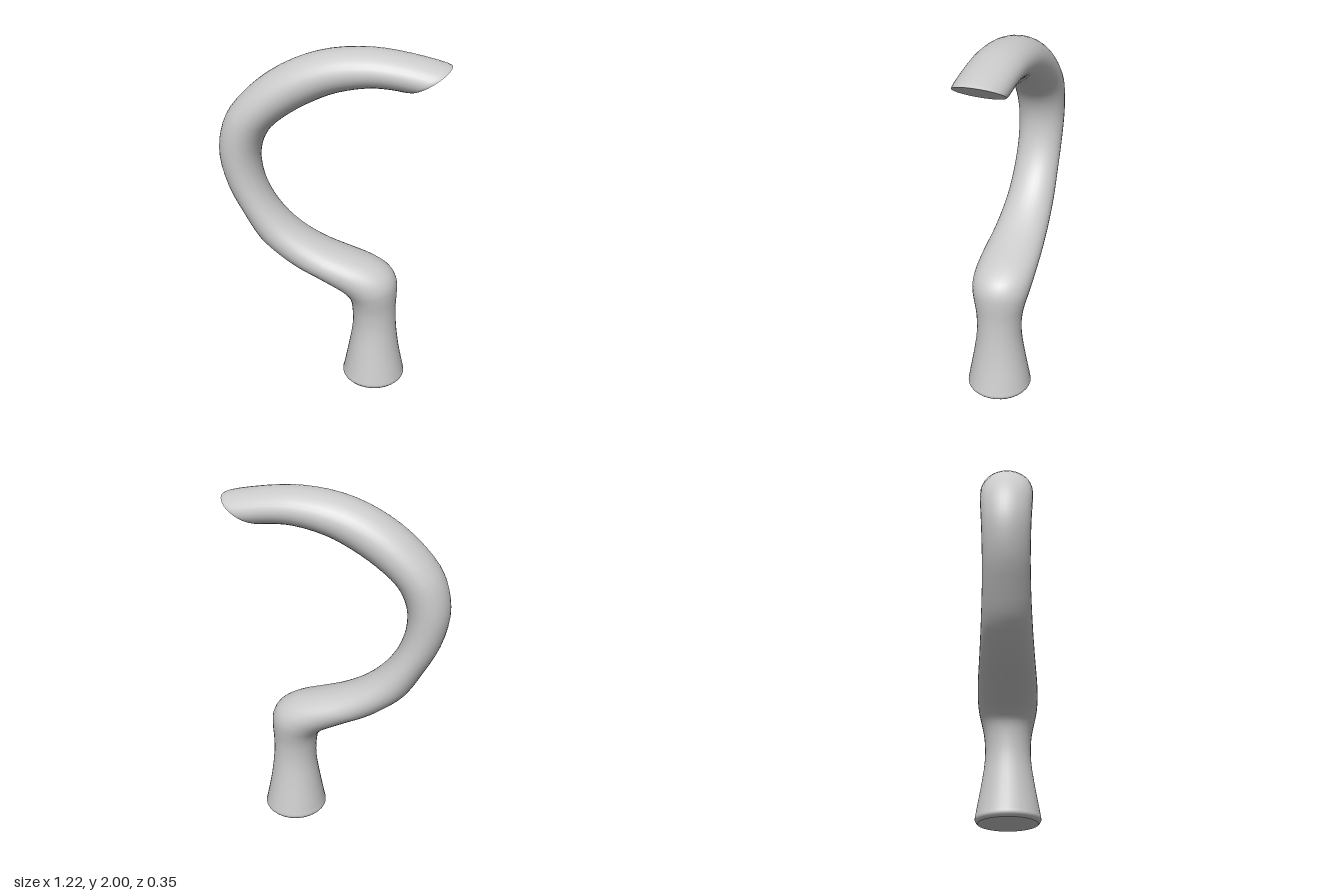
import * as THREE from 'three';

// Cross-sections from foot to tip: [ax, ay, bx, by, half depth];
// a and b are opposite edges of the tube in the plane of the hook.
const SECTIONS = [
  [0.41, 0.003, 0.085, 0.003, 0.163],
  [0.425, 0.022, 0.07, 0.022, 0.177],
  [0.42, 0.05, 0.075, 0.05, 0.174],
  [0.39, 0.2, 0.102, 0.2, 0.147],
  [0.371, 0.35, 0.123, 0.35, 0.126],
  [0.366, 0.48, 0.12, 0.46, 0.128],
  [0.37, 0.58, 0.105, 0.53, 0.144],
  [0.364, 0.65, 0.075, 0.57, 0.157],
  [0.33, 0.71, 0.03, 0.603, 0.163],
  [0.25, 0.762, -0.04, 0.64, 0.163],
  [0.13, 0.805, -0.12, 0.682, 0.158],
  [0, 0.852, -0.2, 0.722, 0.15],
  [-0.13, 0.92, -0.3, 0.79, 0.141],
  [-0.24, 1.01, -0.4, 0.88, 0.133],
  [-0.325, 1.12, -0.49, 1.03, 0.127],
  [-0.375, 1.24, -0.57, 1.19, 0.126],
  [-0.39, 1.36, -0.612, 1.37, 0.13],
  [-0.37, 1.46, -0.598, 1.51, 0.136],
  [-0.32, 1.545, -0.545, 1.635, 0.142],
  [-0.22, 1.63, -0.39, 1.8, 0.145],
  [-0.09, 1.71, -0.21, 1.915, 0.144],
  [0.04, 1.768, -0.02, 1.98, 0.142],
  [0.2, 1.802, 0.2, 2.0, 0.139],
  [0.3, 1.803, 0.4, 1.978, 0.137],
  [0.38, 1.795, 0.58, 1.938, 0.136],
  [0.395, 1.797, 0.605, 1.927, 0.133],
];
const SIDES = 32;
const STEPS = 75;

function geometryFrom(points, index) {
  const geometry = new THREE.BufferGeometry().setFromPoints(points);
  geometry.setIndex(index);
  geometry.computeVertexNormals();
  return geometry;
}

// Elliptical rings, eased between the sections
function makeRings() {
  const edgeA = new THREE.CatmullRomCurve3(SECTIONS.map(([x, y, , , d]) => new THREE.Vector3(x, y, d)));
  const edgeB = new THREE.CatmullRomCurve3(SECTIONS.map(([, , x, y, d]) => new THREE.Vector3(x, y, d)));
  const rings = [];
  for (let i = 0; i <= STEPS; i++) {
    const a = edgeA.getPoint(i / STEPS);
    const b = edgeB.getPoint(i / STEPS);
    const ring = [];
    for (let j = 0; j < SIDES; j++) {
      const angle = (j / SIDES) * Math.PI * 2;
      const p = new THREE.Vector3().lerpVectors(b, a, 0.5 + 0.5 * Math.cos(angle));
      p.z = Math.sin(angle) * (a.z + b.z) / 2;
      ring.push(p);
    }
    rings.push(ring);
  }
  return rings;
}

function makeTube(rings) {
  const index = [];
  for (let i = 0; i < rings.length - 1; i++) {
    for (let j = 0; j < SIDES; j++) {
      const k = (j + 1) % SIDES;
      const p = i * SIDES + j, q = i * SIDES + k;
      index.push(p, p + SIDES, q, q, p + SIDES, q + SIDES);
    }
  }
  return geometryFrom(rings.flat(), index);
}

// Nearly flat end cap; drop raises the middle a little
function makeCap(ring, flip, drop) {
  const centre = ring.reduce((sum, p) => sum.add(p), new THREE.Vector3()).divideScalar(SIDES);
  centre.y -= drop;
  const index = [];
  for (let j = 0; j < SIDES; j++) {
    const k = (j + 1) % SIDES;
    index.push(SIDES, flip ? k : j, flip ? j : k);
  }
  return geometryFrom([...ring, centre], index);
}

export function createModel() {
  const model = new THREE.Group();
  model.name = 'hook';
  const material = new THREE.MeshStandardMaterial({ color: 0xcccccc });
  const add = (name, geometry) => {
    const mesh = new THREE.Mesh(geometry, material);
    mesh.name = name;
    model.add(mesh);
  };

  const rings = makeRings();
  add('curvedStem', makeTube(rings));
  add('footCap', makeCap(rings[0], false, 0.003));
  add('slantedTipCap', makeCap(rings[STEPS], true, 0));
  return model;
}
